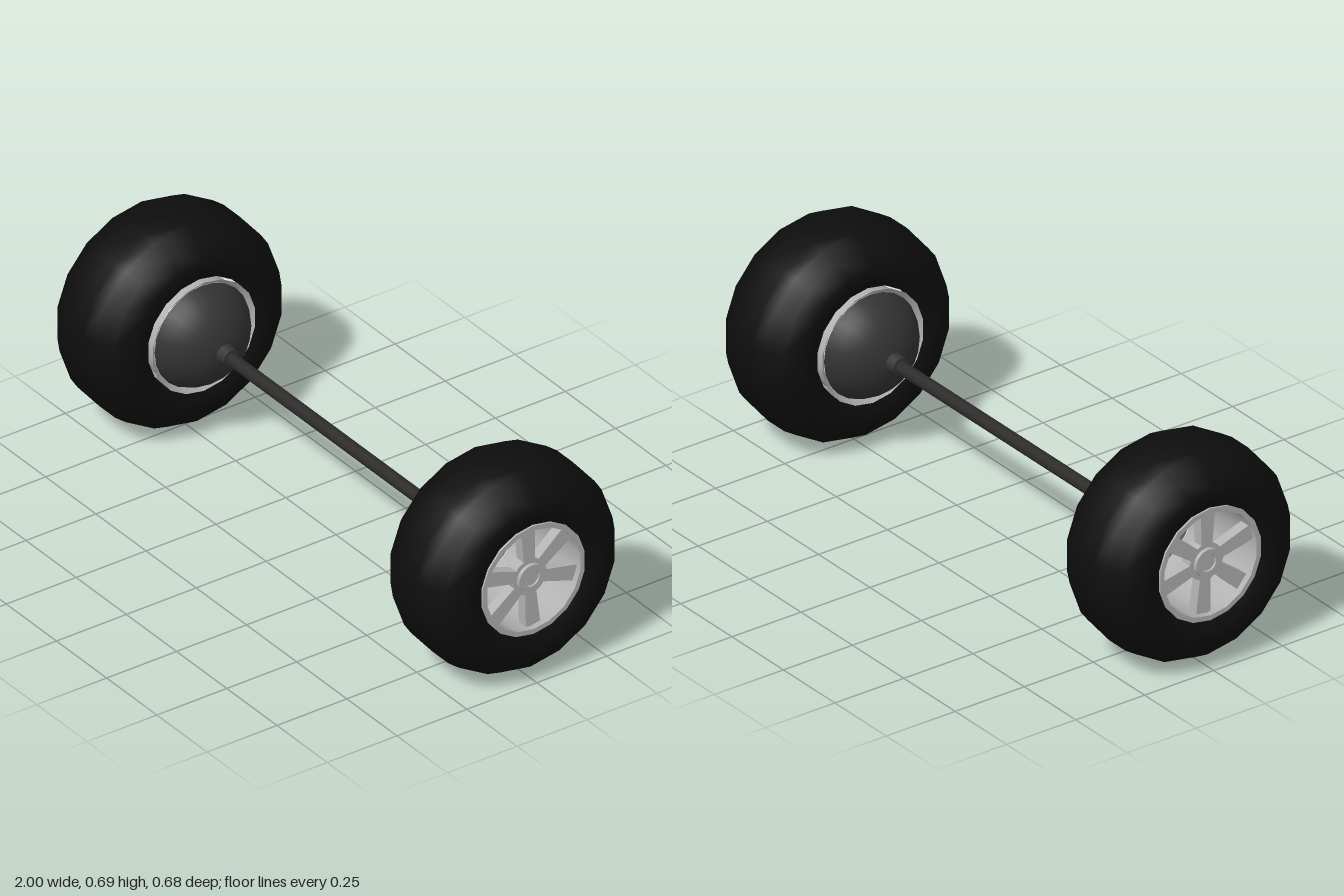
import * as THREE from 'three';
import { toCreasedNormals } from 'three/addons/utils/BufferGeometryUtils.js';

const mat = (name, color, side = THREE.FrontSide) => {
  const m = new THREE.MeshStandardMaterial({ color, side });
  m.name = name;
  return m;
};

// Lathe turned so that its axis is z; points are [radius, z]
const turned = (points, segments) =>
  new THREE.LatheGeometry(points.map(([r, z]) => new THREE.Vector2(r, z)), segments).rotateX(Math.PI / 2);

export function createModel() {
  const rubber = mat('tyre black', 0x0d0d0d);
  const alloy = mat('alloy grey', 0xb2b2b2, THREE.DoubleSide);
  const casing = mat('casing dark grey', 0x333333, THREE.DoubleSide);
  const steel = mat('axle dark grey', 0x2d2a2a);

  const model = new THREE.Group();
  model.name = 'wheelAxle';
  const add = (parent, name, geometry, material) => {
    const mesh = new THREE.Mesh(geometry, material);
    mesh.name = name;
    parent.add(mesh);
    return mesh;
  };

  // Tyre: rounded section, mirrored about its mid plane
  const half = [[0.184, 0.148], [0.215, 0.166], [0.257, 0.17], [0.306, 0.138], [0.337, 0.085], [0.345, 0.04]];
  const tyreProfile = [
    ...half.map(([r, d]) => [r, 0.83 - d]),
    ...half.slice().reverse().map(([r, d]) => [r, 0.83 + d]),
  ];
  const tyreGeo = turned(tyreProfile, 18);

  // Rim: flat front lip, open barrel and a thin back lip
  const rimGeo = toCreasedNormals(turned(
    [[0.185, 0.965], [0.185, 0.985], [0.169, 0.985], [0.169, 0.672], [0.185, 0.657]], 18), 0.6);

  // Domed casing behind the wheel, hollow on the outside
  const dome = [];
  for (let i = 0; i <= 9; i++) {
    const a = (i / 9) * 1.22;
    dome.push([0.18 * Math.sin(a), 0.73 - 0.18 * Math.cos(a)]);
  }
  const domeGeo = turned(dome, 24);

  // Hub with a stepped cap
  const hubGeo = toCreasedNormals(turned(
    [[0, 0.925], [0.06, 0.925], [0.06, 0.965], [0.046, 0.965], [0.044, 0.975],
      [0.028, 0.975], [0.026, 0.97], [0, 0.97]], 18), 0.5);

  // One tapered spoke pointing along +x
  const spokeShape = new THREE.Shape([[0.045, -0.019], [0.172, -0.026], [0.172, 0.026], [0.045, 0.019]]
    .map(([x, y]) => new THREE.Vector2(x, y)));
  const spokeGeo = new THREE.ExtrudeGeometry(spokeShape, { depth: 0.035, bevelEnabled: false });
  const spokeAngles = [92, 38, -15, -86, -140, 164];

  for (const side of [1, -1]) {
    const wheel = new THREE.Group();
    wheel.name = side > 0 ? 'leftWheel' : 'rightWheel';
    wheel.position.y = 0.345;
    wheel.rotation.y = side * Math.PI / 2;
    add(wheel, 'tyre', tyreGeo, rubber);
    add(wheel, 'rim', rimGeo, alloy);
    add(wheel, 'hub', hubGeo, alloy);
    add(wheel, 'domeCasing', domeGeo, casing);
    for (const deg of spokeAngles) {
      const spoke = add(wheel, 'spoke', spokeGeo, alloy);
      spoke.position.z = 0.93;
      spoke.rotation.z = (side > 0 ? deg : 180 - deg) * Math.PI / 180;
    }
    model.add(wheel);

    // Collar where the shaft meets the casing
    const collar = add(model, 'axleCollar', new THREE.CylinderGeometry(0.034, 0.027, 0.045, 12), casing);
    collar.rotation.z = -side * Math.PI / 2;
    collar.position.set(side * 0.543, 0.34, 0);
  }

  // Axle shaft
  const shaft = add(model, 'axleShaft', new THREE.CylinderGeometry(0.021, 0.021, 1.08, 12), steel);
  shaft.rotation.z = Math.PI / 2;
  shaft.position.y = 0.338;

  return model;
}
